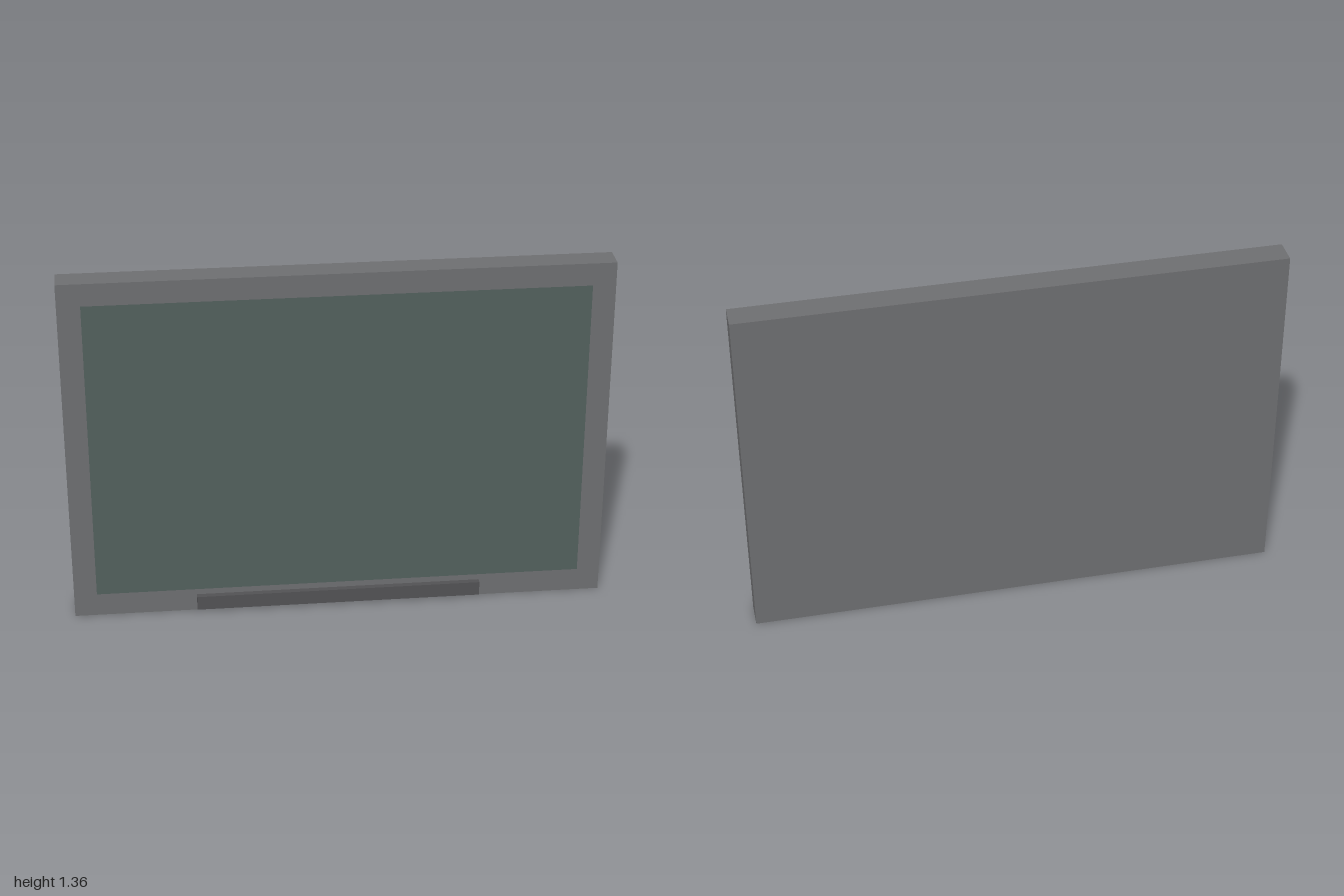
import * as THREE from 'three';

const WIDTH = 2, HEIGHT = 1.355;
const BACK = -0.06, FRONT = 0.038;

// Box given by its lower and upper corners
function box(name, color, [x0, y0, z0], [x1, y1, z1]) {
  const mesh = new THREE.Mesh(
    new THREE.BoxGeometry(x1 - x0, y1 - y0, z1 - z0),
    new THREE.MeshStandardMaterial({ color })
  );
  mesh.name = name;
  mesh.position.set((x0 + x1) / 2, (y0 + y1) / 2, (z0 + z1) / 2);
  return mesh;
}

export function createModel() {
  const board = new THREE.Group();
  board.name = 'wallBoard';

  // Solid slab that forms the border, sides and back
  board.add(box('frame', 0x6e6f71, [-WIDTH / 2, 0, BACK], [WIDTH / 2, HEIGHT, FRONT]));

  // Writing surface, a thin panel almost flush with the border
  const panel = new THREE.Mesh(
    new THREE.PlaneGeometry(1.83, 1.18),
    new THREE.MeshStandardMaterial({ color: 0x52605d })
  );
  panel.name = 'writingSurface';
  panel.position.set(0, 0.68, FRONT + 0.001);
  board.add(panel);

  // Narrow ledge on the lower border
  board.add(box('ledge', 0x525254, [-0.54, 0.012, FRONT], [0.535, 0.067, 0.06]));

  return board;
}
